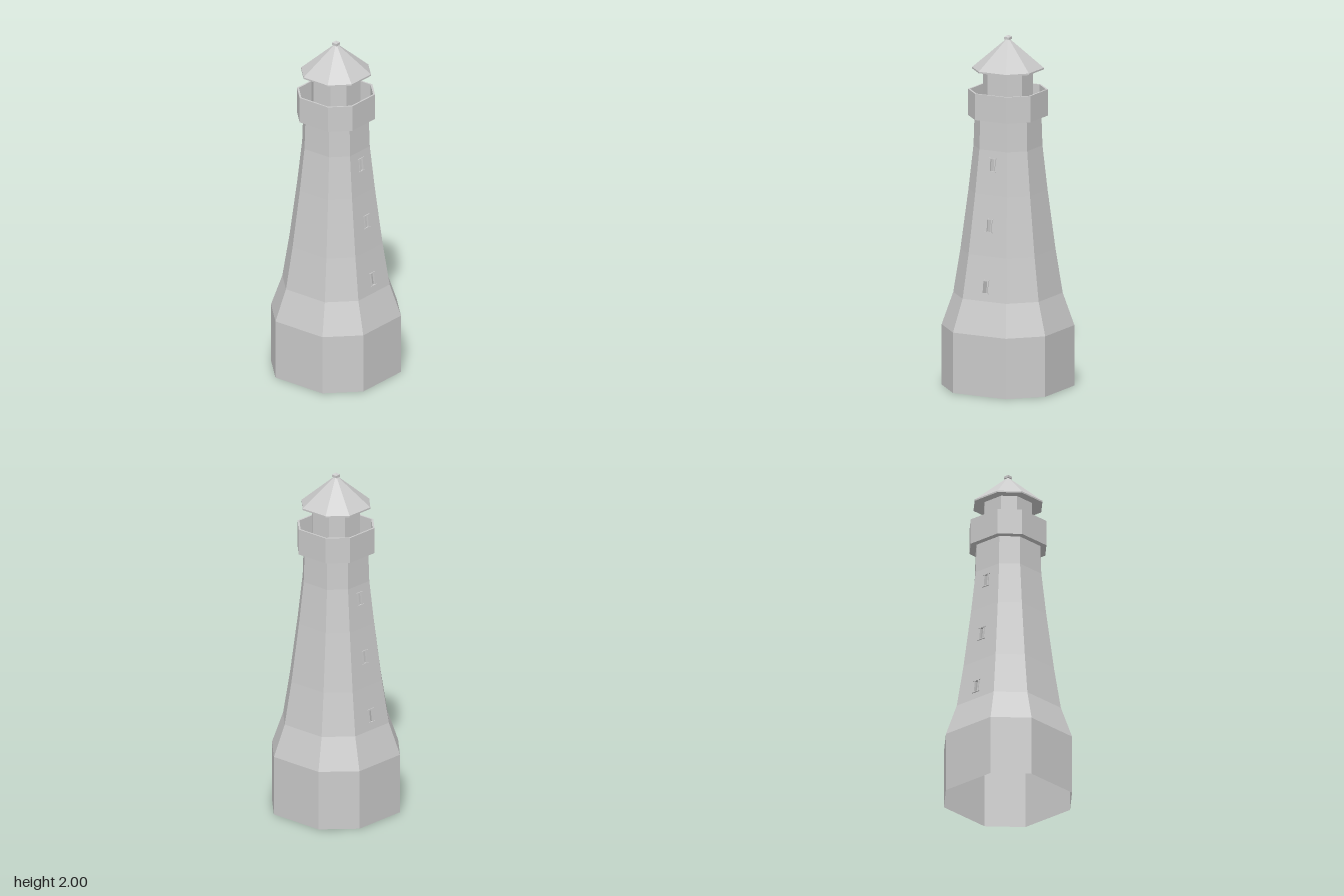
import * as THREE from 'three';
import { mergeGeometries } from 'three/addons/utils/BufferGeometryUtils.js';

const material = new THREE.MeshStandardMaterial({ color: 0xcccccc, flatShading: true, side: THREE.DoubleSide });

// Chamfered-square ring: a = distance to the axis-facing sides, b = half their width
const ring = ([a, b, y]) => [[b, a], [a, b], [a, -b], [b, -a], [-b, -a], [-a, -b], [-a, b], [-b, a]]
  .map(([x, z]) => [x, y, z]);

// Eight-sided skin through a profile of [a, b, y]; skip(side, band) leaves a panel out
function skin(profile, skip = () => false) {
  const pos = [];
  for (let i = 0; i < profile.length - 1; i++) {
    const lo = ring(profile[i]), hi = ring(profile[i + 1]);
    for (let s = 0; s < 8; s++) {
      if (skip(s, i)) continue;
      const t = (s + 1) % 8;
      pos.push(...lo[s], ...lo[t], ...hi[t]);
      if (profile[i + 1][0] > 0) pos.push(...lo[s], ...hi[t], ...hi[s]);
    }
  }
  const g = new THREE.BufferGeometry();
  g.setAttribute('position', new THREE.Float32BufferAttribute(pos, 3));
  g.computeVertexNormals();
  return g;
}

function add(parent, name, geometry) {
  const mesh = new THREE.Mesh(geometry, material);
  mesh.name = name;
  parent.add(mesh);
  return mesh;
}

const rect = (Kind, w, h, y = 0) => new Kind([[-w, y - h], [w, y - h], [w, y + h], [-w, y + h]]
  .map((p) => new THREE.Vector2(...p)));

const TOWER = [
  [0.33, 0.168, 0], [0.33, 0.168, 0.345], [0.272, 0.139, 0.53],
  [0.236, 0.121, 0.78], [0.196, 0.101, 1.12], [0.171, 0.088, 1.37], [0.166, 0.085, 1.55],
];
// Tower band -> height of its window
const WINDOWS = { 2: 0.61, 3: 0.95, 4: 1.29 };

// Sloping side panel with a window opening
function windowPanel(band, y) {
  const [a0, b0, y0] = TOWER[band], [a1, b1, y1] = TOWER[band + 1];
  const shape = new THREE.Shape([[-b0, y0], [b0, y0], [b1, y1], [-b1, y1]].map((p) => new THREE.Vector2(...p)));
  shape.holes.push(rect(THREE.Path, 0.012, 0.034, y));
  const g = new THREE.ShapeGeometry(shape);
  const p = g.attributes.position;
  for (let i = 0; i < p.count; i++) {
    const h = p.getY(i);
    p.setXYZ(i, a0 + (a1 - a0) * (h - y0) / (y1 - y0), h, -p.getX(i));
  }
  g.computeVertexNormals();
  return g;
}

// Frame with sill and lintel, tilted to lie on the wall
function windowFrame(band, y) {
  const [a0, , y0] = TOWER[band], [a1, , y1] = TOWER[band + 1];
  const shape = rect(THREE.Shape, 0.018, 0.039);
  shape.holes.push(rect(THREE.Path, 0.012, 0.034));
  const parts = [new THREE.ExtrudeGeometry(shape, { depth: 0.012, bevelEnabled: false }).translate(0, 0, -0.006)];
  for (const s of [-1, 1]) {
    parts.push(new THREE.BoxGeometry(0.052, 0.005, 0.006).toNonIndexed().translate(0, s * 0.0375, 0.004));
  }
  const g = mergeGeometries(parts);
  g.rotateX(-Math.atan((a0 - a1) / (y1 - y0))).rotateY(Math.PI / 2);
  return g.translate(a0 + (a1 - a0) * (y - y0) / (y1 - y0), y, 0);
}

export function createModel() {
  const model = new THREE.Group();
  model.name = 'lighthouse';

  // Hollow tower, open underneath; sides 1 and 5 carry the windows
  add(model, 'tower', skin(TOWER, (side, band) => side % 4 === 1 && band in WINDOWS));
  for (const [name, turn] of [['left', 0], ['right', Math.PI]]) {
    const wall = new THREE.Group();
    wall.name = name + 'Windows';
    wall.rotation.y = turn;
    for (const [band, y] of Object.entries(WINDOWS)) {
      add(wall, 'windowPanel', windowPanel(+band, y));
      add(wall, 'windowFrame', windowFrame(+band, y));
    }
    model.add(wall);
  }

  // Gallery: underside, parapet wall and floor
  add(model, 'gallery', skin([
    [0.16, 0.082, 1.54], [0.198, 0.101, 1.54], [0.198, 0.101, 1.69],
    [0.188, 0.096, 1.69], [0.188, 0.096, 1.555], [0, 0, 1.555],
  ]));

  // Lantern room
  add(model, 'lantern', skin([[0.125, 0.062, 1.555], [0.125, 0.062, 1.812]]));

  // Roof with a thin eave
  add(model, 'roof', skin([
    [0.12, 0.058, 1.81], [0.181, 0.086, 1.805], [0.181, 0.086, 1.814], [0, 0, 1.985],
  ]));

  // Finial: small block with a pointed cap
  const finial = new THREE.Group();
  finial.name = 'finial';
  finial.position.y = 1.982;
  add(finial, 'finialBlock', new THREE.BoxGeometry(0.033, 0.014, 0.033));
  add(finial, 'finialCap', new THREE.ConeGeometry(0.0233, 0.011, 4).rotateY(Math.PI / 4).translate(0, 0.0125, 0));
  model.add(finial);

  return model;
}
